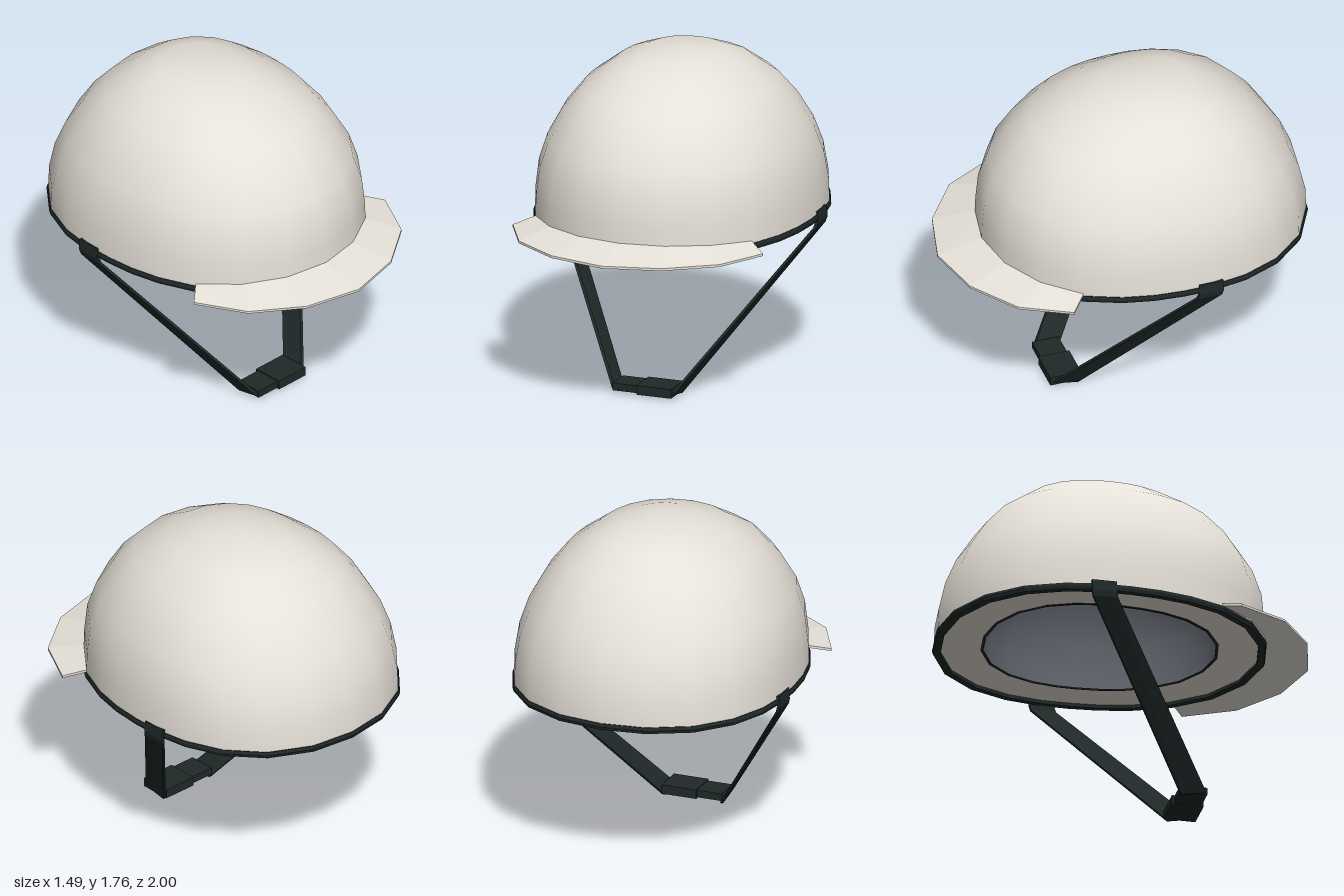
import * as THREE from 'three';
import { mergeVertices } from 'three/addons/utils/BufferGeometryUtils.js';

// Egg-shaped plan of the shell edge, from the front round the left to the back
const HALF_PLAN = [
  [0, 0.755], [0.243, 0.71], [0.457, 0.585], [0.61, 0.397], [0.688, 0.206], [0.724, 0.04],
  [0.737, -0.12], [0.735, -0.28], [0.704, -0.466], [0.62, -0.667], [0.466, -0.843], [0.243, -0.957], [0, -0.99],
];
const PLAN = [...HALF_PLAN, ...HALF_PLAN.slice(1, -1).reverse().map(([x, z]) => [-x, z])];
const MIDDLE_Z = -0.12;

// Plan point j shrunk by r towards the middle, at height y
function planPoint(j, r, y, shift = 0) {
  const [x, z] = PLAN[(j + PLAN.length) % PLAN.length];
  return [x * r, y, MIDDLE_Z + (z - MIDDLE_Z) * r + shift];
}

// Surface swept round the plan through rows of [r, y, zShift]
function planSurface(rows) {
  const sides = PLAN.length, pos = [], index = [];
  rows.forEach(([r, y, shift]) => {
    for (let j = 0; j < sides; j++) pos.push(...planPoint(j, r, y, shift));
  });
  for (let i = 0; i < rows.length - 1; i++) {
    for (let j = 0; j < sides; j++) {
      const k = (j + 1) % sides;
      const a = i * sides + j, b = i * sides + k, c = b + sides, d = a + sides;
      if (rows[i][0] > 0) index.push(a, b, d);
      if (rows[i + 1][0] > 0) index.push(b, c, d);
    }
  }
  const geo = new THREE.BufferGeometry();
  geo.setAttribute('position', new THREE.Float32BufferAttribute(pos, 3));
  geo.setIndex(index);
  const merged = mergeVertices(geo, 1e-5);
  merged.computeVertexNormals();
  return merged;
}

// Faceted band round the plan
function trim(inner, outer, low, high) {
  const geo = planSurface([
    [inner, low], [outer - 0.007, low], [outer, (low + high) / 2],
    [outer - 0.007, high], [inner, high], [inner, low],
  ]).toNonIndexed();
  geo.computeVertexNormals();
  return geo;
}

// Faceted solid through four-cornered sections, capped at both ends
function loft(sections) {
  const pos = [];
  const quad = (a, b, c, d) => pos.push(...a, ...b, ...c, ...a, ...c, ...d);
  for (let i = 0; i < sections.length - 1; i++) {
    const s = sections[i], t = sections[i + 1];
    for (let k = 0; k < 4; k++) {
      const n = (k + 1) % 4;
      quad(s[k], s[n], t[n], t[k]);
    }
  }
  const [a, b, c, d] = sections[0];
  quad(d, c, b, a);
  quad(...sections[sections.length - 1]);
  const geo = new THREE.BufferGeometry();
  geo.setAttribute('position', new THREE.Float32BufferAttribute(pos, 3));
  geo.computeVertexNormals();
  return geo;
}

function material(name, color) {
  const m = new THREE.MeshStandardMaterial({ color });
  m.name = name;
  return m;
}

export function createModel() {
  const group = new THREE.Group();
  const cream = material('cream', 0xe6e1d8);
  const black = material('greenBlack', 0x1f2928);
  const grey = material('liningGrey', 0x666a73);
  const add = (name, geo, mat) => {
    const mesh = new THREE.Mesh(geo, mat);
    mesh.name = name;
    group.add(mesh);
    return mesh;
  };

  // Shell
  const profile = [
    [1, 0.88, 0], [0.995, 1.02, 0], [0.967, 1.17, 0.01], [0.905, 1.31, 0.015], [0.797, 1.455, 0.015],
    [0.667, 1.575, 0.01], [0.467, 1.685, -0.01], [0.28, 1.738, -0.035], [0, 1.765, 0],
  ];
  add('shell', planSurface(profile), cream);

  // Underside between shell and lining
  add('underside', planSurface([[0.71, 0.885], [0.99, 0.885]]), cream);

  // Hollow lining, facing inwards
  const lining = profile.map(([r, y, s]) => [r * 0.715, 0.885 + (y - 0.88) * 0.86, s]).reverse();
  add('lining', planSurface(lining), grey);

  // Edge trims
  add('rimTrim', trim(0.96, 1.011, 0.867, 0.902), black);
  add('liningTrim', trim(0.702, 0.72, 0.881, 0.889), black);

  // Visor: [outer x, outer z, inner top y] from the middle to one side
  const half = [[0, 0.997, 0.938], [0.31, 0.922, 0.936], [0.565, 0.742, 0.93], [0.704, 0.48, 0.918]];
  const visorSection = (i) => {
    const sign = Math.sign(i);
    const [x, z, y] = half[Math.abs(i)];
    const [ix, , iz] = planPoint(i, 0.985, y);
    return [[ix, y, iz], [sign * x, 0.88, z], [sign * x, 0.867, z], [ix, y - 0.014, iz]];
  };
  add('visor', loft([-3, -2, -1, 0, 1, 2, 3].map(visorSection)), cream);

  // Chin straps
  const path = [[0.733, 0.92, -0.265], [0.737, 0.86, -0.265], [0.729, 0.83, -0.258], [0.163, 0.012, 0.345]];
  for (const side of [1, -1]) {
    const sections = path.map(([x, y, z], i) => {
      const t = 0.009, w = 0.067, dip = i === 3 ? 0.012 : 0;
      const corners = [
        [x - t, y - dip, z - w], [x + t, y - dip, z - w], [x + t, y + dip, z + w], [x - t, y + dip, z + w],
      ].map(([cx, cy, cz]) => [cx * side, cy, cz]);
      return side > 0 ? corners : corners.reverse();
    });
    add(side > 0 ? 'leftStrap' : 'rightStrap', loft(sections), black);
  }

  // Buckle halves
  add('buckleSocket', new THREE.BoxGeometry(0.195, 0.05, 0.17), black).position.set(0.07, 0.035, 0.345);
  add('buckleClip', new THREE.BoxGeometry(0.14, 0.04, 0.145), black).position.set(-0.096, 0.035, 0.345);

  return group;
}
